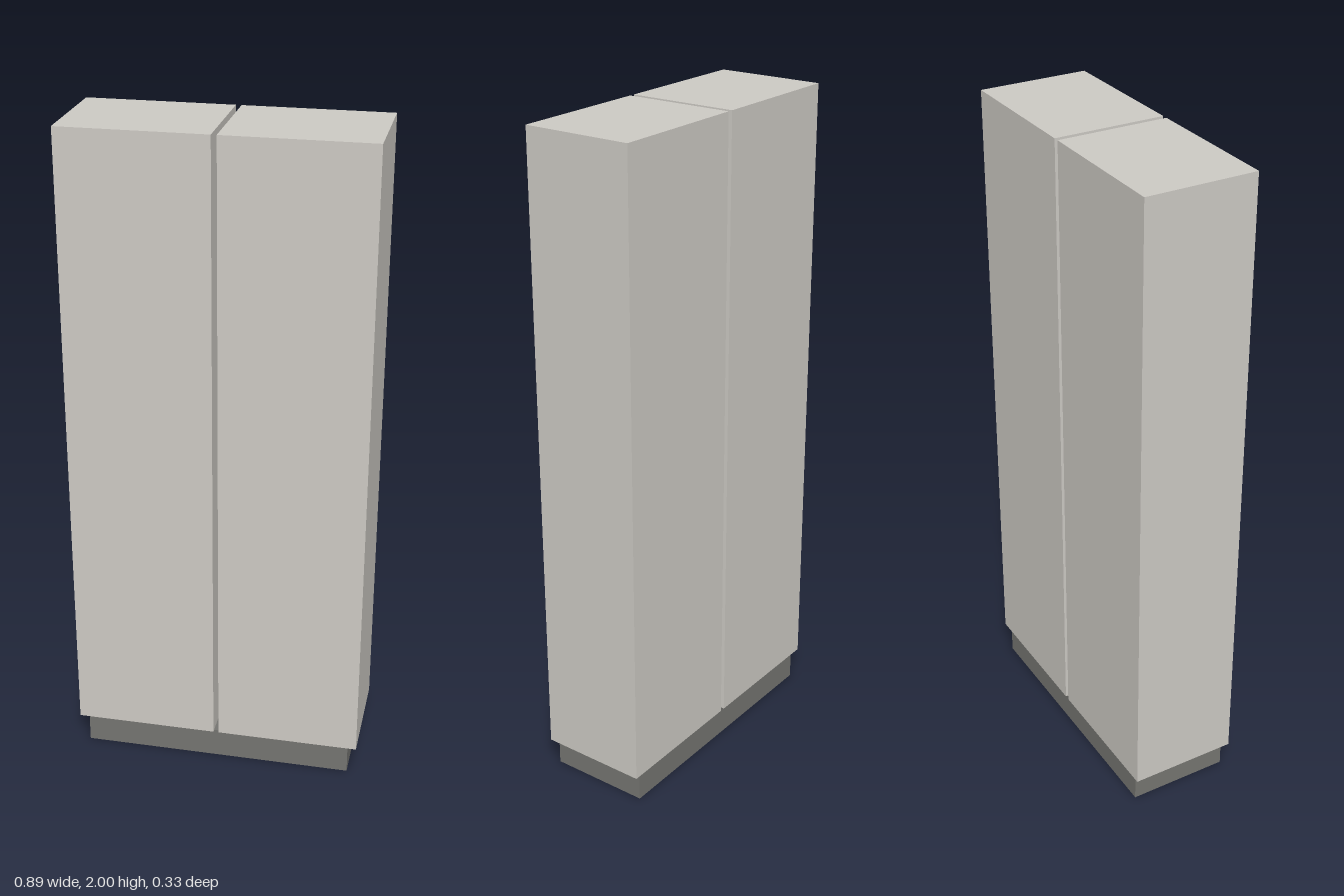
import * as THREE from 'three';

export function createModel() {
  const group = new THREE.Group();
  const slabMaterial = new THREE.MeshStandardMaterial({ color: 0xcdcac4 });
  const baseMaterial = new THREE.MeshStandardMaterial({ color: 0x757571 });

  // Box from its size, horizontal centre and bottom height
  const addBox = (name, material, width, height, depth, x, bottom) => {
    const mesh = new THREE.Mesh(new THREE.BoxGeometry(width, height, depth), material);
    mesh.name = name;
    mesh.position.set(x, bottom + height / 2, 0);
    group.add(mesh);
  };

  const baseHeight = 0.093;
  const slabWidth = 0.436;
  const gap = 0.016;

  // Recessed plinth
  addBox('base', baseMaterial, 0.833, baseHeight, 0.313, 0, 0);

  // Twin slabs with an open slot between them
  for (const [name, side] of [['leftSlab', 1], ['rightSlab', -1]]) {
    addBox(name, slabMaterial, slabWidth, 2 - baseHeight, 0.333, side * (gap + slabWidth) / 2, baseHeight);
  }

  return group;
}
